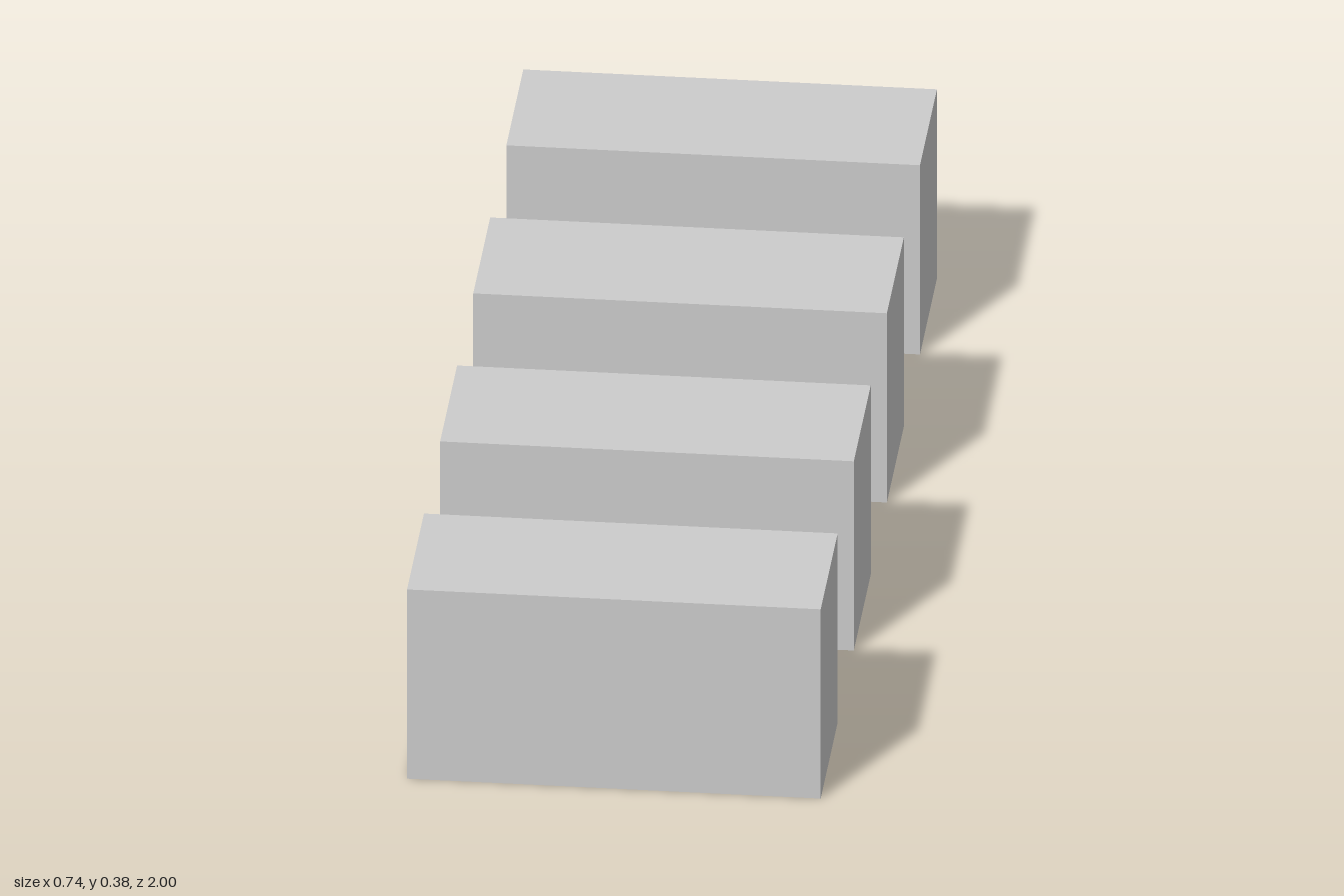
import * as THREE from 'three';

const WIDTH = 0.738, HEIGHT = 0.379, DEPTH = 0.292;
const COUNT = 4, SPACING = (2 - DEPTH) / (COUNT - 1);

// Thin-walled box with four sides and a top, open underneath
function openBottomBox(w, h, d) {
  const geometry = new THREE.BoxGeometry(w, h, d);
  const index = Array.from(geometry.index.array);
  index.splice(18, 6); // drop the bottom face
  geometry.setIndex(index);
  geometry.clearGroups();
  geometry.translate(0, h / 2, 0);
  return geometry;
}

export function createModel() {
  const model = new THREE.Group();
  model.name = 'blockRow';
  const material = new THREE.MeshStandardMaterial({ color: 0xcccccc, side: THREE.DoubleSide });
  const geometry = openBottomBox(WIDTH, HEIGHT, DEPTH);

  // Evenly spaced row of identical blocks, front to back
  for (let i = 0; i < COUNT; i++) {
    const block = new THREE.Mesh(geometry, material);
    block.name = `block${i + 1}`;
    block.position.z = ((COUNT - 1) / 2 - i) * SPACING;
    model.add(block);
  }
  return model;
}
